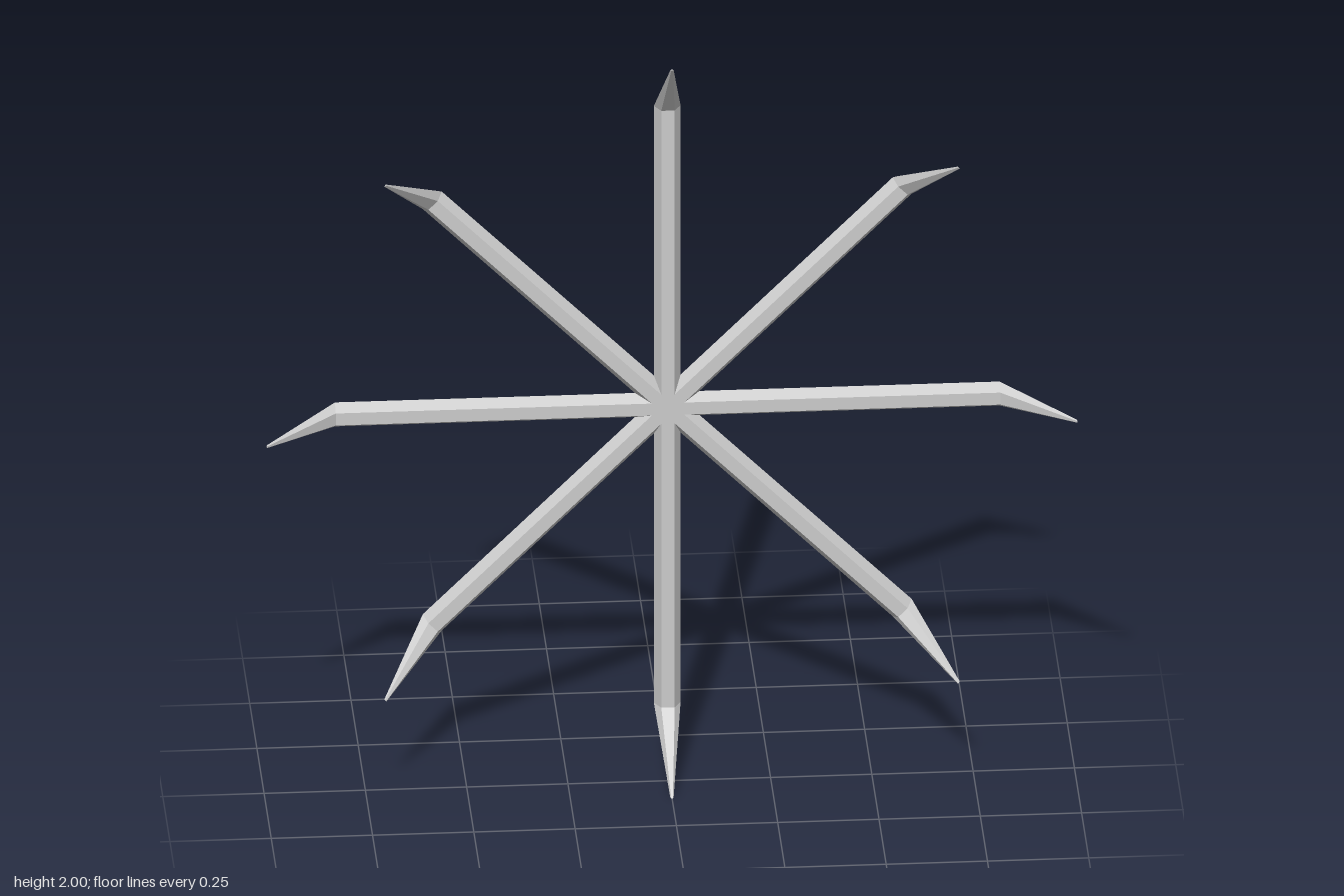
import * as THREE from 'three';

const ARMS = 8;
const RADIUS = 0.033;   // hexagonal bar
const BEND = 0.82;      // distance from the hub to the bend
const BAR_Z = -0.071;
const TIP_RADIUS = 0.004;
const TIP_Z = 0.096;

export function createModel() {
  const model = new THREE.Group();
  model.name = 'clawedStar';
  const material = new THREE.MeshStandardMaterial({ color: 0xcccccc, flatShading: true });

  // straight hexagonal bar, flat face to the front
  const bar = new THREE.CylinderGeometry(RADIUS, RADIUS, BEND, 6);
  bar.rotateY(Math.PI / 6).translate(0, BEND / 2, BAR_Z);

  // claw: tapered continuation of the bar, sheared forward to its tip
  const length = 1 - BEND;
  const claw = new THREE.CylinderGeometry(TIP_RADIUS, RADIUS, length, 6);
  claw.rotateY(Math.PI / 6).translate(0, length / 2, 0);
  const p = claw.attributes.position;
  for (let i = 0; i < p.count; i++) {
    const t = p.getY(i) / length;
    p.setZ(i, p.getZ(i) + BAR_Z + (TIP_Z - BAR_Z) * t);
  }
  claw.translate(0, BEND, 0);
  claw.computeVertexNormals();

  // arms radiating from the hub
  for (let i = 0; i < ARMS; i++) {
    const arm = new THREE.Group();
    arm.name = `arm${i + 1}`;
    const barMesh = new THREE.Mesh(bar, material);
    barMesh.name = 'bar';
    const clawMesh = new THREE.Mesh(claw, material);
    clawMesh.name = 'claw';
    arm.add(barMesh, clawMesh);
    arm.position.y = 1;
    arm.rotation.z = (i / ARMS) * Math.PI * 2;
    model.add(arm);
  }
  return model;
}
